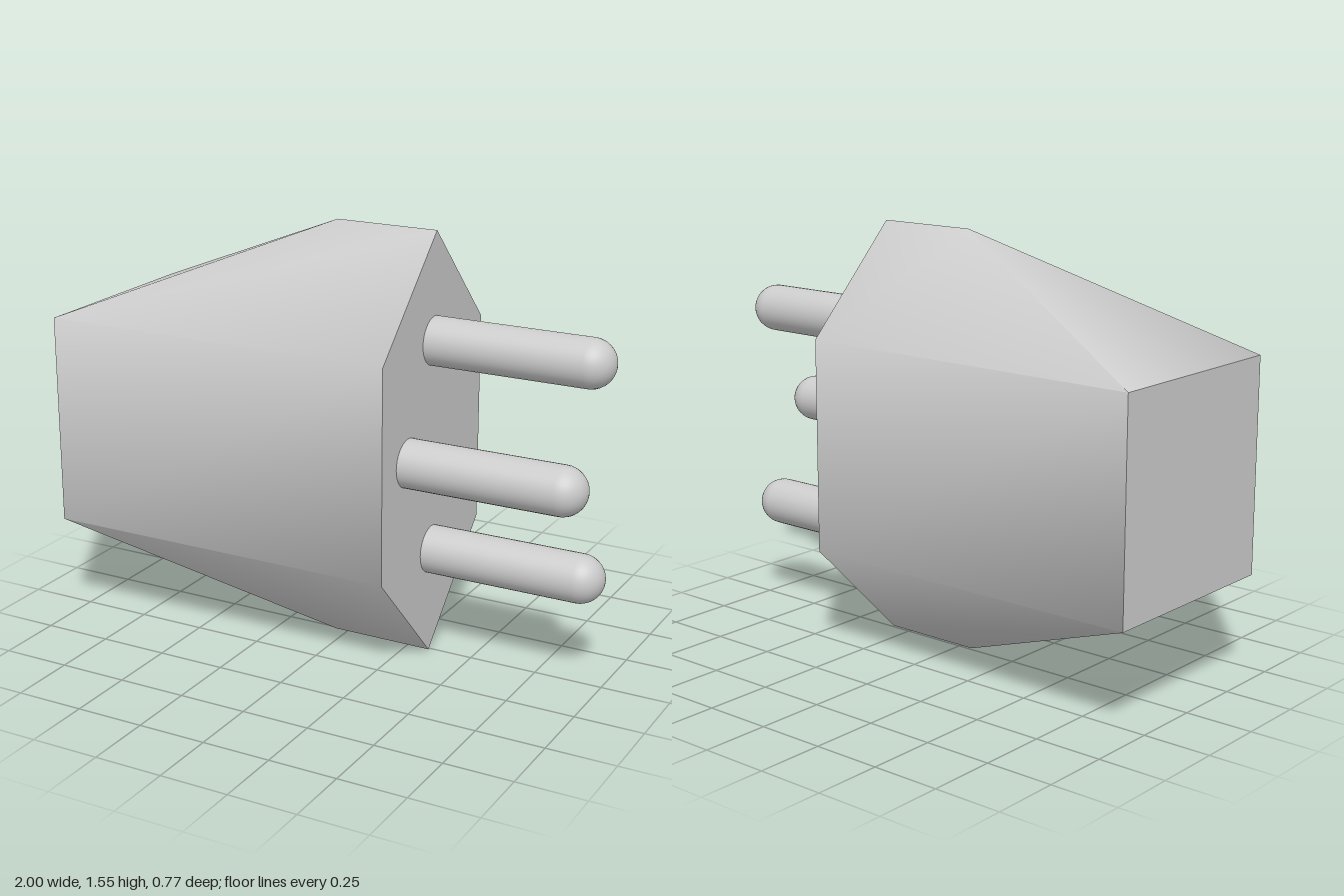
import * as THREE from 'three';
import { toCreasedNormals } from 'three/addons/utils/BufferGeometryUtils.js';

const REAR = -1, MID = -0.05, FRONT = 0.335;  // stations along x
const LOW = 0.39, HIGH = 1.165, TOP = 1.55, HALF = 0.385;
const material = new THREE.MeshStandardMaterial({ color: 0xcccccc });

// Hexagonal housing whose top and bottom ridges slope down to a square rear end
function housingGeometry() {
  const corners = [
    [REAR, HIGH, HALF], [REAR, HIGH, -HALF], [REAR, LOW, -HALF], [REAR, LOW, HALF],
    [MID, TOP, -0.01], [MID, 0, 0.01],
    [FRONT, TOP, -0.01], [FRONT, HIGH, -HALF], [FRONT, LOW, -HALF],
    [FRONT, 0, 0.01], [FRONT, LOW, HALF], [FRONT, HIGH, HALF],
  ];
  const faces = [
    [2, 3, 0, 1], [6, 11, 10, 9, 8, 7],          // rear and prong ends
    [3, 10, 11, 0], [8, 2, 1, 7],                // flat sides
    [0, 11, 6, 4], [7, 1, 4, 6],                 // upper slopes
    [10, 3, 5, 9], [2, 8, 9, 5],                 // lower slopes
    [0, 4, 1], [2, 5, 3],                        // tapered facets
  ];
  const index = [];
  for (const f of faces)
    for (let i = 1; i < f.length - 1; i++) index.push(f[0], f[i], f[i + 1]);
  const geometry = new THREE.BufferGeometry();
  geometry.setAttribute('position', new THREE.Float32BufferAttribute(corners.flat(), 3));
  geometry.setIndex(index);
  return toCreasedNormals(geometry, Math.PI / 3);
}

// Round pin with a domed tip, running along +x from the housing face
function prongGeometry(length, radius) {
  const profile = [new THREE.Vector2(radius, 0)];
  for (let i = 0; i <= 10; i++) {
    const a = (i / 10) * Math.PI / 2;
    profile.push(new THREE.Vector2(radius * Math.cos(a), length - radius + radius * Math.sin(a)));
  }
  return new THREE.LatheGeometry(profile, 32).rotateZ(-Math.PI / 2);
}

export function createModel() {
  const model = new THREE.Group();
  model.name = 'plug';

  const housing = new THREE.Mesh(housingGeometry(), material);
  housing.name = 'housing';
  model.add(housing);

  const prongs = [
    ['upperProng', 1.165, 0, 1],
    ['middleProng', 0.777, 0.193, 0.993],
    ['lowerProng', 0.393, 0, 0.993],
  ];
  for (const [name, y, z, tip] of prongs) {
    const prong = new THREE.Mesh(prongGeometry(tip - FRONT, 0.0875), material);
    prong.name = name;
    prong.position.set(FRONT, y, z);
    model.add(prong);
  }
  return model;
}
